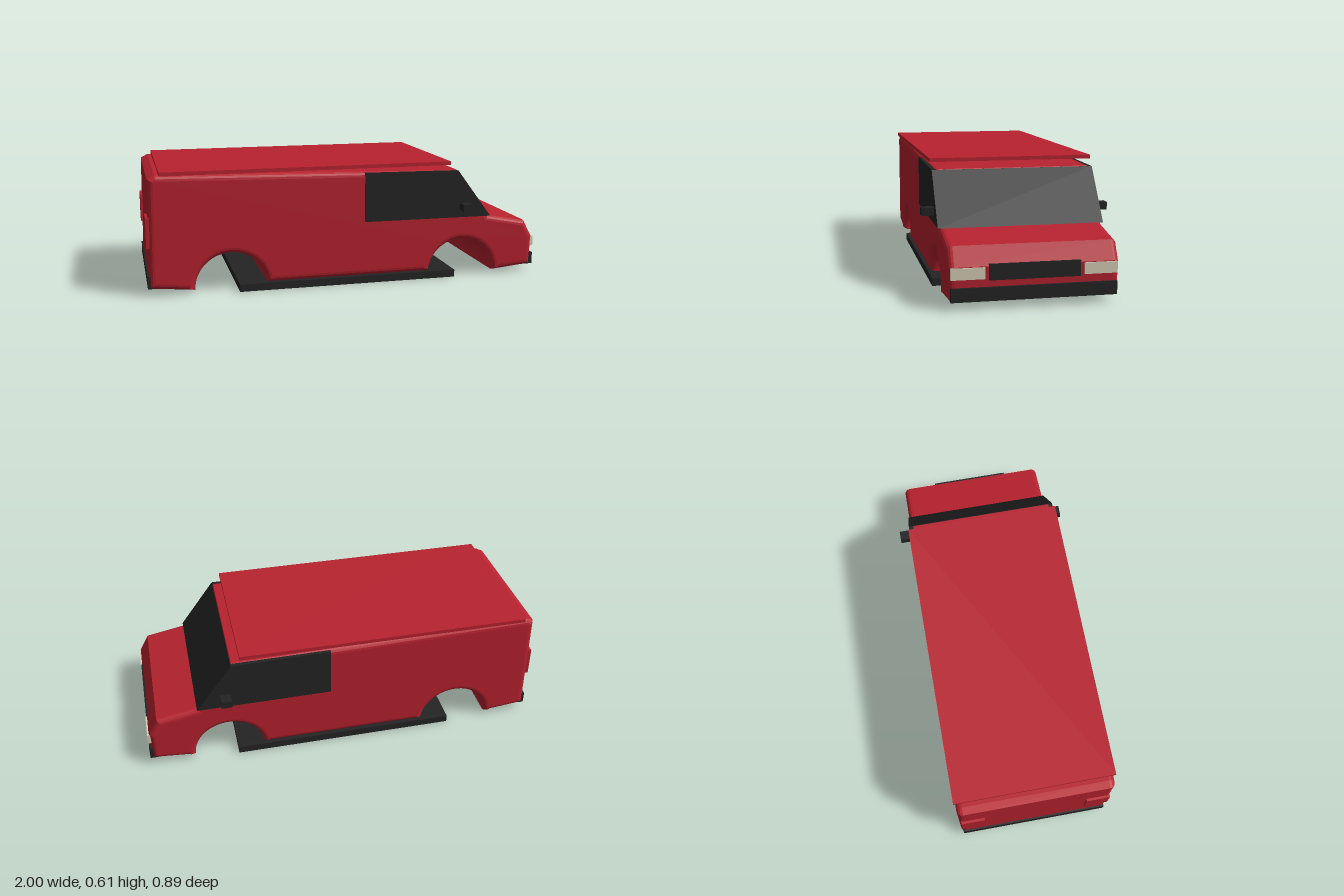
import * as THREE from 'three';

const red = new THREE.MeshStandardMaterial({ name: 'redPaint', color: 0xb8222f });
const dark = new THREE.MeshStandardMaterial({ name: 'darkTrim', color: 0x242424 });
const cream = new THREE.MeshStandardMaterial({ name: 'creamLens', color: 0xd8d0b8 });

export function createModel() {
  const van = new THREE.Group();
  van.name = 'van';

  const add = (name, geometry, material) => {
    const mesh = new THREE.Mesh(geometry, material);
    mesh.name = name;
    van.add(mesh);
  };

  // Box given by its limits on each axis
  const box = (name, material, [x0, x1], [y0, y1], [z0, z1]) => {
    const g = new THREE.BoxGeometry(x1 - x0, y1 - y0, z1 - z0);
    g.translate((x0 + x1) / 2, (y0 + y1) / 2, (z0 + z1) / 2);
    add(name, g, material);
  };

  // Body: side profile with two wheel arches, rounded along both sides
  const profile = new THREE.Shape();
  const archY = 0.018, archR = 0.177;
  const floorY = 0.037;
  const a = Math.asin((floorY - archY) / archR);
  profile.moveTo(-0.993, 0.04);
  profile.lineTo(-0.597 - archR, archY);
  profile.absarc(-0.597, archY, archR, Math.PI, a, true);
  profile.absarc(0.595, archY, archR, Math.PI - a, 0, true);
  profile.lineTo(0.985, 0.037);
  profile.lineTo(0.992, 0.19);
  profile.lineTo(0.945, 0.275);
  profile.lineTo(0.74, 0.314);
  profile.lineTo(0.56, 0.558);
  profile.lineTo(-0.95, 0.59);
  profile.lineTo(-0.985, 0.573);
  profile.closePath();
  const halfWidth = 0.383, bevel = 0.028;
  const body = new THREE.ExtrudeGeometry(profile, {
    depth: 2 * (halfWidth - bevel), curveSegments: 24,
    bevelThickness: bevel, bevelSize: bevel, bevelOffset: -bevel, bevelSegments: 4,
  });
  body.translate(0, 0, bevel - halfWidth);
  add('body', body, red);

  // Cab glass wraps the windscreen and both side windows
  const glassShape = new THREE.Shape([
    [0.073, 0.315], [0.745, 0.313], [0.564, 0.555], [0.073, 0.562],
  ].map(([x, y]) => new THREE.Vector2(x, y)));
  const glass = new THREE.ExtrudeGeometry(glassShape, { depth: 0.776, bevelEnabled: false });
  glass.translate(0, 0, -0.388);
  add('cabGlass', glass, dark);

  // Roof panel, underfloor, bumpers and grille
  box('roofPanel', red, [-0.93, 0.52], [0.587, 0.605], [-0.392, 0.392]);
  box('underfloor', dark, [-0.56, 0.555], [0, 0.037], [-0.39, 0.39]);
  box('frontBumper', dark, [0.96, 1], [0.038, 0.099], [-0.372, 0.372]);
  box('rearBumper', dark, [-1, -0.97], [0.04, 0.1], [-0.372, 0.372]);
  box('grille', dark, [0.97, 0.996], [0.128, 0.2], [-0.205, 0.205]);

  // Mirrored details
  for (const [side, s] of [['left', 1], ['right', -1]]) {
    const span = (near, far) => (s > 0 ? [near, far] : [-far, -near]);
    box(side + 'Headlight', cream, [0.97, 1], [0.136, 0.187], span(0.222, 0.372));
    box(side + 'TailLight', red, [-1, -0.97], [0.24, 0.387], span(0.255, 0.372));
    box(side + 'Mirror', dark, [0.575, 0.627], [0.352, 0.388], span(0.38, 0.446));
  }
  return van;
}
